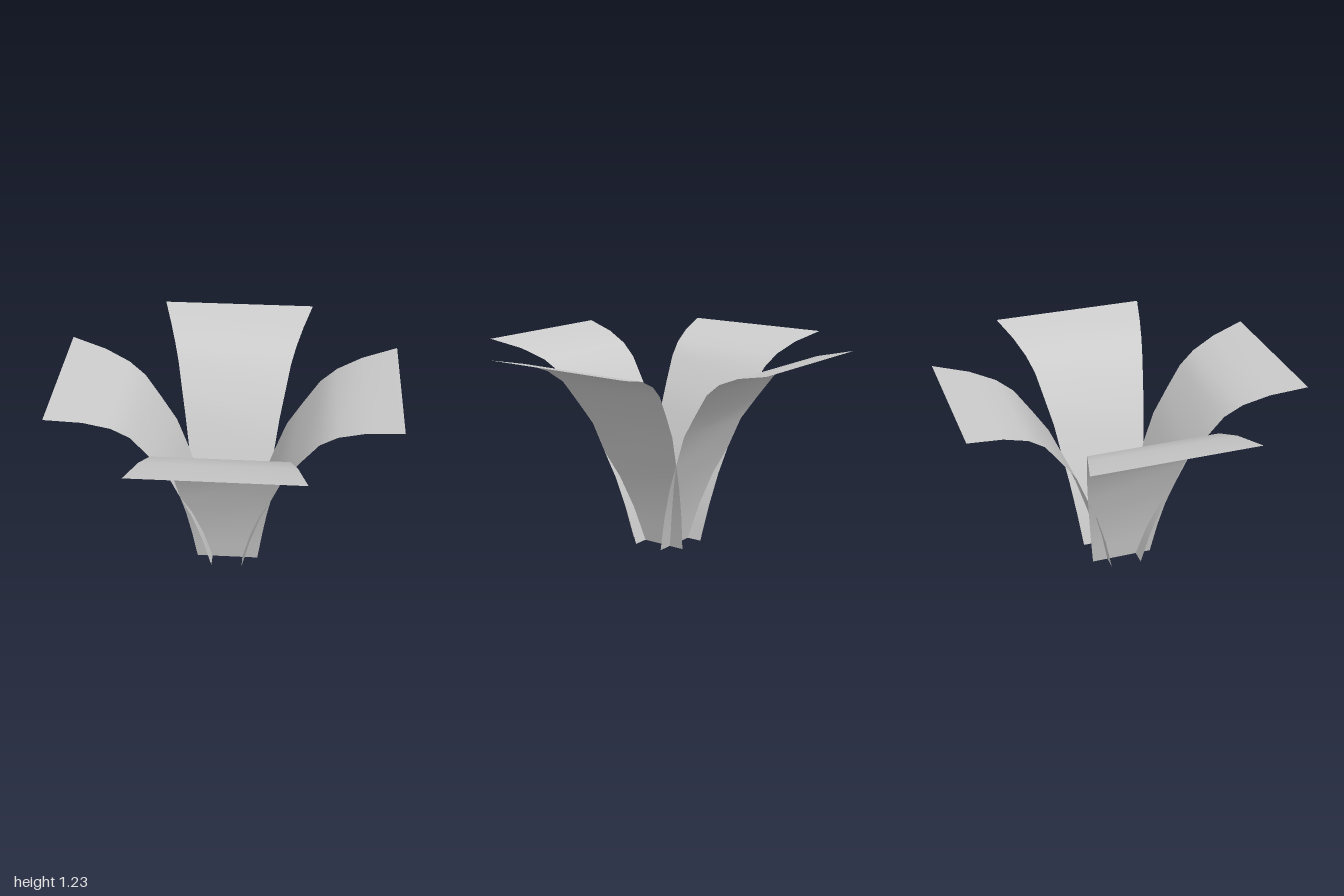
import * as THREE from 'three';

// Leaf cross-sections: distance from the centre, height, half width
const SECTIONS = [
  [0.095, 0, 0.19], [0.12, 0.11, 0.204], [0.145, 0.22, 0.218], [0.205, 0.42, 0.245],
  [0.27, 0.58, 0.27], [0.345, 0.77, 0.297], [0.44, 0.91, 0.326], [0.54, 1.05, 0.355],
  [0.64, 1.125, 0.384], [0.79, 1.185, 0.425], [1, 1.23, 0.48],
];

// Thin curved sheet, straight across and widening towards its tip
function leafGeometry() {
  const positions = [], index = [];
  SECTIONS.forEach(([d, y, w], i) => {
    positions.push(-w, y, d, w, y, d);
    if (i > 0) {
      const a = 2 * (i - 1);
      index.push(a, a + 1, a + 3, a, a + 3, a + 2);
    }
  });
  const geometry = new THREE.BufferGeometry();
  geometry.setAttribute('position', new THREE.Float32BufferAttribute(positions, 3));
  geometry.setIndex(index);
  geometry.computeVertexNormals();
  return geometry;
}

export function createModel() {
  const plant = new THREE.Group();
  plant.name = 'plant';
  const geometry = leafGeometry();
  const material = new THREE.MeshStandardMaterial({ color: 0xcccccc, side: THREE.DoubleSide });

  // Four identical leaves, a quarter turn apart
  ['frontLeaf', 'leftLeaf', 'backLeaf', 'rightLeaf'].forEach((name, i) => {
    const leaf = new THREE.Mesh(geometry, material);
    leaf.name = name;
    leaf.rotation.y = i * Math.PI / 2;
    plant.add(leaf);
  });
  return plant;
}
